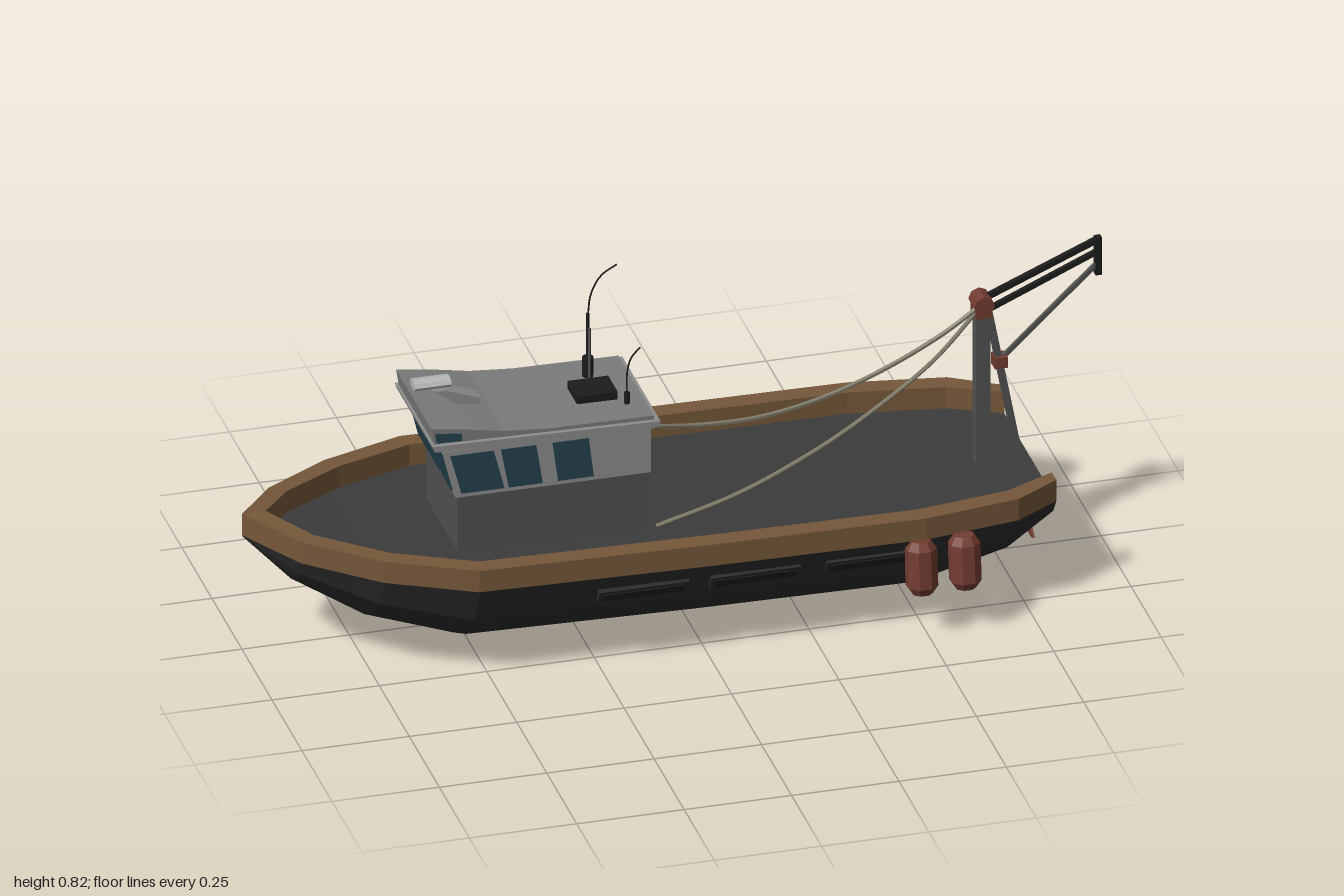
import * as THREE from 'three';

const mat = (color) => new THREE.MeshStandardMaterial({ color, flatShading: true, side: THREE.DoubleSide });
const M = {
  hull: mat(0x2a2a2a), deck: mat(0x3c3c3c), wood: mat(0x76583a), red: mat(0x733c31), black: mat(0x1c1c1c),
  lower: mat(0x505050), upper: mat(0x8e8e8e), roof: mat(0x7c7c7c), door: mat(0x353535), glass: mat(0x24424f),
  mast: mat(0x525252), rope: mat(0x7f7b68), pale: mat(0xb5b5b5),
};

// Skin over cross-sections (arrays of [x, y, z] with equal counts)
function loft(sections) {
  const n = sections[0].length, index = [];
  for (let i = 0; i < sections.length - 1; i++)
    for (let j = 0; j < n - 1; j++) {
      const a = i * n + j, b = a + n, c = b + 1, d = a + 1;
      index.push(a, d, b, d, c, b);
    }
  const g = new THREE.BufferGeometry();
  g.setAttribute('position', new THREE.Float32BufferAttribute(sections.flat(2), 3));
  g.setIndex(index);
  g.computeVertexNormals();
  return g;
}

// Side profile in x/y, extruded across z and centred on z
function prism(points, width, z = 0) {
  const shape = new THREE.Shape(points.map((p) => new THREE.Vector2(...p)));
  return new THREE.ExtrudeGeometry(shape, { depth: width, bevelEnabled: false }).translate(0, 0, z - width / 2);
}

const box = (x0, x1, y0, y1, z0, z1) =>
  new THREE.BoxGeometry(x1 - x0, y1 - y0, z1 - z0).translate((x0 + x1) / 2, (y0 + y1) / 2, (z0 + z1) / 2);

// Square or round bar between two points
function bar(a, b, r, sides = 4) {
  const p = new THREE.Vector3(...a), q = new THREE.Vector3(...b), d = q.clone().sub(p);
  const g = new THREE.CylinderGeometry(r, r, d.length(), sides);
  if (sides === 4) g.rotateY(Math.PI / 4);
  g.applyQuaternion(new THREE.Quaternion().setFromUnitVectors(new THREE.Vector3(0, 1, 0), d.normalize()));
  return g.translate((a[0] + b[0]) / 2, (a[1] + b[1]) / 2, (a[2] + b[2]) / 2);
}

const tube = (pts, r, seg = 28) =>
  new THREE.TubeGeometry(new THREE.CatmullRomCurve3(pts.map((p) => new THREE.Vector3(...p))), seg, r, 6);

export function createModel() {
  const boat = new THREE.Group();
  boat.name = 'fishingBoat';
  const add = (name, geometry, material, parent = boat) => {
    const m = new THREE.Mesh(geometry, material);
    m.name = name;
    parent.add(m);
    return m;
  };

  // Stations: x, half beam, keel y, sheer y, inner rail x, inner rail z
  const stations = [
    [-1, 0, 0.29, 0.292, -0.945, 0], [-0.9, 0.134, 0.185, 0.275, -0.865, 0.108],
    [-0.74, 0.25, 0.085, 0.262, -0.715, 0.213], [-0.54, 0.333, 0.02, 0.252, -0.53, 0.288],
    [0, 0.335, 0.008, 0.242, 0, 0.288], [0.5, 0.335, 0.002, 0.237, 0.49, 0.288],
    [0.725, 0.3, 0.065, 0.236, 0.71, 0.255], [0.83, 0.235, 0.138, 0.236, 0.83, 0.198],
  ];
  // Half section: fraction of beam, fraction of depth
  const half = [[1, 1], [0.89, 0.61], [0.67, 0.3], [0.36, 0.085], [0, 0]];
  const section = [...half, ...half.slice(0, 4).reverse().map(([z, y]) => [-z, y])];
  const hull = stations.map(([x, w, k, t]) => section.map(([fz, fy]) => [x, k + (t - k) * fy, w * fz]));
  add('hull', loft(hull), M.hull);
  const stern = hull[hull.length - 1];
  add('transom', loft([stern, stern.map(() => [0.83, 0.236, 0])]), M.deck);
  add('deck', loft(stations.map(([x, w, , t]) => [[x, t, -w * 0.98], [x, t, w * 0.98]])), M.deck);

  // Bulwarks, closed at the stern end
  const rail = stations.map(([x, w, , t, ix, iz]) => {
    const top = t + 0.054;
    return [[x, top, w], [x, t, w], [ix, t, iz], [ix, top, iz], [x, top, w]];
  });
  rail.push(rail[rail.length - 1].map(() => [0.83, 0.263, 0.216]));
  for (const s of [1, -1]) {
    const side = s > 0 ? 'left' : 'right';
    add(side + 'Bulwark', loft(rail), M.wood).scale.z = s;

    // Side strakes lying on the sloping planks
    for (const x of [-0.155, 0.105, 0.375]) {
      const strake = new THREE.Group();
      strake.name = side + 'Strake';
      add('strakePlate', new THREE.BoxGeometry(0.21, 0.036, 0.012), M.hull, strake);
      add('strakePanel', new THREE.BoxGeometry(0.19, 0.02, 0.017), M.black, strake);
      strake.position.set(x, 0.193, s * 0.318);
      strake.rotation.x = s * 0.38;
      boat.add(strake);
    }

    // Hanging fenders
    const profile = [[0, -0.064], [0.024, -0.064], [0.037, -0.045], [0.037, 0.045], [0.024, 0.064], [0, 0.064]];
    for (const x of [0.486, 0.587]) {
      const g = new THREE.LatheGeometry(profile.map((p) => new THREE.Vector2(...p)), 8).rotateY(Math.PI / 8);
      const f = add(side + 'Fender', g, M.red);
      f.position.set(x, 0.175, s * 0.342);
      f.rotation.x = -s * 0.11;
    }
  }

  // Propeller
  add('propellerShaft', bar([0.68, 0.068, 0], [0.835, 0.068, 0], 0.011, 8), M.red);
  const blade = new THREE.Shape();
  blade.moveTo(-0.009, 0);
  blade.quadraticCurveTo(-0.014, 0.035, 0.016, 0.058);
  blade.quadraticCurveTo(0.022, 0.025, 0.01, 0);
  for (let i = 0; i < 3; i++) {
    const g = new THREE.ExtrudeGeometry(blade, { depth: 0.005, bevelEnabled: false, curveSegments: 5 });
    g.rotateZ((i * Math.PI * 2) / 3).rotateY(Math.PI / 2).translate(0.825, 0.066, 0);
    add('propellerBlade', g, M.red);
  }

  // Wheelhouse
  const house = new THREE.Group();
  house.name = 'wheelhouse';
  boat.add(house);
  add('lowerCabin', box(-0.535, -0.092, 0.23, 0.402, -0.13, 0.13), M.lower, house);
  add('upperCabin', prism([[-0.545, 0.4], [-0.09, 0.4], [-0.09, 0.52], [-0.575, 0.52]], 0.306), M.upper, house);
  add('roofEave', prism([[-0.595, 0.525], [-0.07, 0.516], [-0.07, 0.53], [-0.6, 0.54]], 0.318), M.upper, house);
  add('roof', prism([[-0.592, 0.53], [-0.082, 0.525], [-0.082, 0.54], [-0.33, 0.543], [-0.43, 0.551],
    [-0.51, 0.566], [-0.6, 0.579]], 0.296), M.roof, house);
  add('visorWindow', prism([[-0.588, 0.543], [-0.53, 0.541], [-0.53, 0.559], [-0.592, 0.567]], 0.3), M.glass, house);
  const sideWindows = [[-0.532, -0.432, -0.457, -0.558], [-0.422, -0.343, -0.358, -0.44], [-0.307, -0.224, -0.236, -0.32]];
  for (const [a, b, c, d] of sideWindows)
    add('sideWindows', prism([[a, 0.41], [b, 0.41], [c, 0.508], [d, 0.508]], 0.311), M.glass, house);
  for (const z of [-0.097, 0, 0.097])
    add('frontWindow', prism([[-0.551, 0.412], [-0.54, 0.412], [-0.56, 0.508], [-0.575, 0.508]], 0.085, z), M.glass, house);
  add('doorFrame', box(-0.1, -0.084, 0.236, 0.5, -0.073, 0.073), M.door, house);
  add('doorPanel', box(-0.1, -0.08, 0.252, 0.486, -0.063, 0.063), M.lower, house);

  // Roof equipment
  add('searchlightArm', prism([[-0.53, 0.6], [-0.45, 0.572], [-0.45, 0.55], [-0.5, 0.56], [-0.56, 0.603]], 0.036), M.upper, house);
  add('searchlight', new THREE.CylinderGeometry(0.022, 0.022, 0.085, 8).rotateZ(Math.PI / 2)
    .scale(1, 0.55, 1).translate(-0.56, 0.617, 0), M.pale, house);
  add('roofHatch', box(-0.235, -0.14, 0.535, 0.56, -0.027, 0.053), M.black, house);
  add('largeAntennaBase', bar([-0.175, 0.53, -0.072], [-0.175, 0.59, -0.072], 0.013, 8), M.black, house);
  add('largeAntennaPole', bar([-0.175, 0.58, -0.072], [-0.175, 0.7, -0.072], 0.0045, 6), M.black, house);
  add('largeAntennaWhip', tube([[-0.175, 0.69, -0.072], [-0.168, 0.75, -0.07], [-0.145, 0.795, -0.067],
    [-0.11, 0.82, -0.063]], 0.002, 12), M.black, house);
  add('shortPole', bar([-0.175, 0.53, -0.057], [-0.175, 0.67, -0.057], 0.003, 6), M.mast, house);
  add('smallAntennaBase', bar([-0.125, 0.53, 0.075], [-0.125, 0.568, 0.075], 0.007, 8), M.black, house);
  add('smallAntennaWhip', tube([[-0.125, 0.56, 0.075], [-0.124, 0.62, 0.075], [-0.115, 0.655, 0.076],
    [-0.095, 0.68, 0.079]], 0.002, 12), M.black, house);

  // Mast, back stay and boom
  const rig = new THREE.Group();
  rig.name = 'mastAndBoom';
  boat.add(rig);
  add('mast', box(0.705, 0.738, 0.23, 0.63, -0.017, 0.017), M.mast, rig);
  add('mastHead', new THREE.CylinderGeometry(0.024, 0.024, 0.05, 8).rotateX(Math.PI / 2).translate(0.722, 0.637, 0), M.red, rig);
  add('mastCollar', box(0.703, 0.74, 0.607, 0.625, -0.026, 0.026), M.red, rig);
  add('backStay', bar([0.735, 0.625, 0], [0.808, 0.236, 0], 0.011), M.mast, rig);
  add('stayJoint', box(0.748, 0.778, 0.47, 0.497, -0.017, 0.017), M.red, rig);
  add('boomStrut', bar([0.765, 0.485, 0], [0.988, 0.695, 0], 0.007), M.mast, rig);
  add('upperBoom', bar([0.73, 0.647, 0], [0.99, 0.757, 0], 0.009), M.black, rig);
  add('lowerBoom', bar([0.735, 0.615, 0], [0.99, 0.727, 0], 0.008), M.black, rig);
  add('boomEnd', box(0.985, 1, 0.67, 0.765, -0.008, 0.008), M.black, rig);

  // Ropes from the mast head to the wheelhouse
  add('upperRope', tube([[-0.085, 0.514, 0.15], [0.02, 0.485, 0.118], [0.17, 0.472, 0.097], [0.33, 0.485, 0.07],
    [0.49, 0.525, 0.042], [0.63, 0.58, 0.017], [0.722, 0.635, 0.006]], 0.006, 40), M.rope, rig);
  add('lowerRope', tube([[-0.07, 0.245, 0.124], [0.125, 0.289, 0.104], [0.3, 0.35, 0.076], [0.43, 0.41, 0.052],
    [0.6, 0.515, 0.024], [0.715, 0.625, 0.006]], 0.005, 40), M.rope, rig);

  return boat;
}
